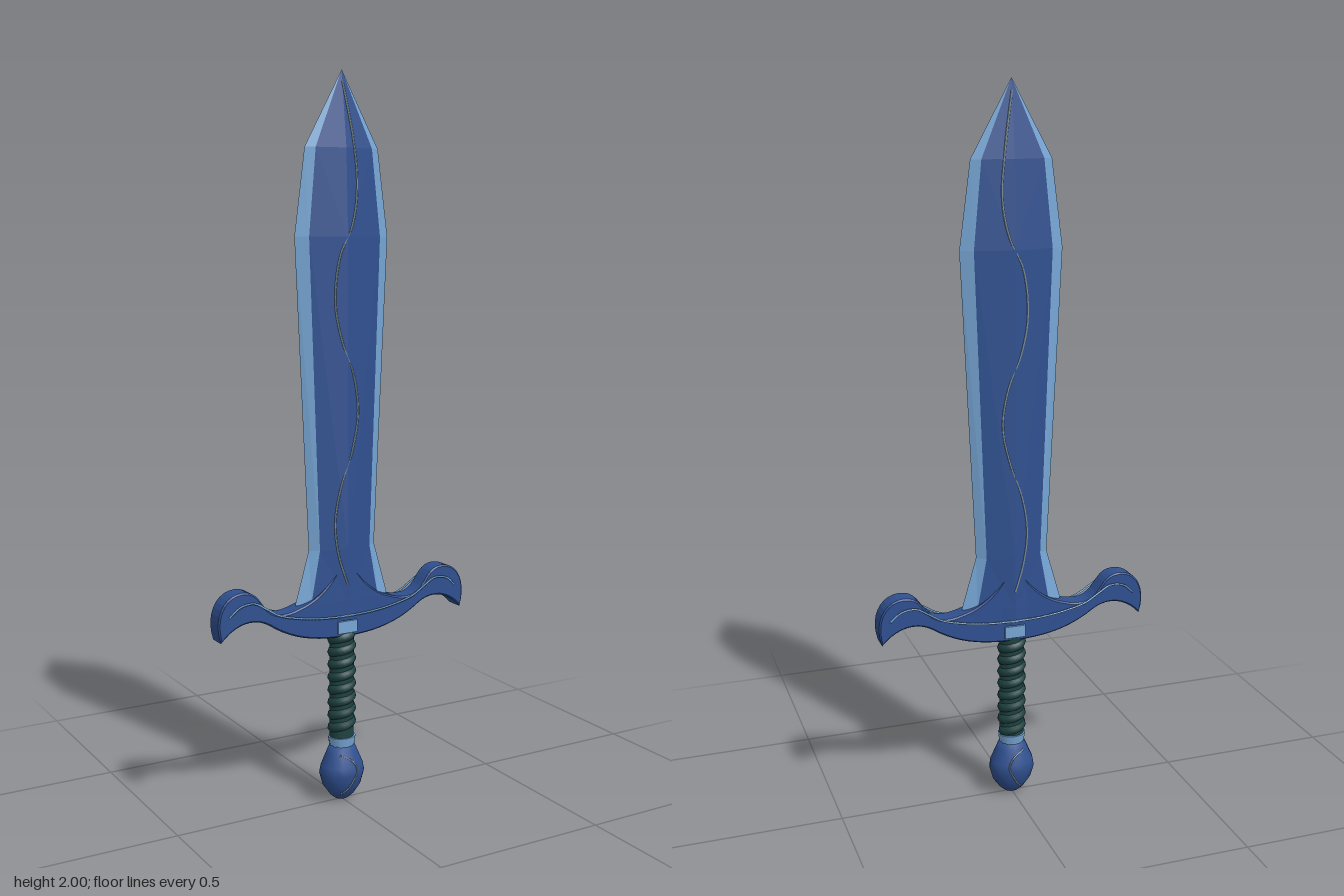
import * as THREE from 'three';

const mat = (name, color, double) => {
  const m = new THREE.MeshStandardMaterial({ color });
  m.name = name;
  if (double) m.side = THREE.DoubleSide;
  return m;
};

export function createModel() {
  const blue = mat('deep blue', 0x2f5090);
  const light = mat('pale blue edge', 0x77a7d6);
  const green = mat('dark green wrap', 0x1e4242);
  const vine = mat('grey inlay', 0x7f9298);
  const group = new THREE.Group();
  const add = (geo, m, name) => {
    const mesh = new THREE.Mesh(geo, m);
    mesh.name = name;
    group.add(mesh);
    return mesh;
  };

  // Blade sections: y, edge half-width, inner half-width, ridge depth, inner depth
  const rows = [
    [0.53, 0.11, 0.08, 0.034, 0.018],
    [0.585, 0.145, 0.105, 0.034, 0.018],
    [0.73, 0.103, 0.078, 0.034, 0.018],
    [1.57, 0.142, 0.108, 0.034, 0.018],
    [1.8, 0.111, 0.085, 0.025, 0.013],
    [2.0, 0, 0, 0, 0],
  ];
  const faces = [], bevels = [];
  // Quad a-b (lower) to c-d (upper), flipped when mirrored an odd number of times
  const quad = (out, a, b, c, d, sx, sz) => {
    const order = sx * sz > 0 ? [a, b, d, a, d, c] : [a, d, b, a, c, d];
    for (const p of order) out.push(p[0] * sx, p[1], p[2] * sz);
  };
  for (let i = 0; i < rows.length - 1; i++) {
    const pts = ([y, edge, inner, ridge, depth]) => [[0, y, ridge], [inner, y, depth], [edge, y, 0]];
    const lo = pts(rows[i]), hi = pts(rows[i + 1]);
    for (const sx of [1, -1]) for (const sz of [1, -1]) {
      quad(faces, lo[0], lo[1], hi[0], hi[1], sx, sz);
      quad(bevels, lo[1], lo[2], hi[1], hi[2], sx, sz);
    }
  }
  const fromTriangles = (list) => {
    const g = new THREE.BufferGeometry();
    g.setAttribute('position', new THREE.Float32BufferAttribute(list, 3));
    g.computeVertexNormals();
    return g;
  };
  add(fromTriangles(faces), blue, 'bladeFaces');
  add(fromTriangles(bevels), light, 'bladeEdges');

  // Depth of the blade face at a point
  const bladeZ = (x, y) => {
    let i = 0;
    while (i < rows.length - 2 && y > rows[i + 1][0]) i++;
    const a = rows[i], b = rows[i + 1], t = (y - a[0]) / (b[0] - a[0]);
    const mix = (k) => a[k] + (b[k] - a[k]) * t;
    return mix(3) + (mix(4) - mix(3)) * Math.min(1, Math.abs(x) / Math.max(mix(2), 0.001));
  };
  const line = (points, radius, name, material = vine) =>
    add(new THREE.TubeGeometry(new THREE.CatmullRomCurve3(points), points.length * 5, radius, 5), material, name);

  // Winding inlay on both blade faces
  const wave = [[0, 0.63], [-0.025, 0.71], [-0.036, 0.8], [-0.02, 0.9], [0.015, 1.0], [0.034, 1.1],
    [0.02, 1.2], [-0.018, 1.3], [-0.036, 1.4], [-0.022, 1.52], [0.015, 1.6], [0.033, 1.7], [0.024, 1.82], [0, 1.97]];
  for (const s of [1, -1]) {
    line(wave.map(([x, y]) => new THREE.Vector3(x, y, s * bladeZ(x, y))), 0.003, 'bladeInlay');
  }

  // Crossguard with curled horns
  const guard = new THREE.Shape();
  guard.moveTo(0, 0.482);
  guard.bezierCurveTo(0.1, 0.482, 0.17, 0.5, 0.235, 0.545);
  guard.bezierCurveTo(0.28, 0.575, 0.335, 0.565, 0.378, 0.517);
  guard.bezierCurveTo(0.4, 0.58, 0.375, 0.645, 0.315, 0.646);
  guard.bezierCurveTo(0.255, 0.645, 0.265, 0.585, 0.21, 0.572);
  guard.bezierCurveTo(0.18, 0.568, 0.16, 0.575, 0.135, 0.583);
  guard.quadraticCurveTo(0.07, 0.605, 0.032, 0.665);
  guard.lineTo(0, 0.635);
  const half = guard.getPoints(10);
  const outline = [...half, ...half.slice(1, -1).reverse().map((p) => new THREE.Vector2(-p.x, p.y))];
  const guardGeo = new THREE.ExtrudeGeometry(new THREE.Shape(outline), {
    depth: 0.048, bevelEnabled: true, bevelSize: 0.004, bevelThickness: 0.004, bevelOffset: -0.004, bevelSegments: 1,
  });
  guardGeo.translate(0, 0, -0.024);
  add(guardGeo, blue, 'crossguard');

  // Thin trim running along the guard, front and back
  const trim = [[0, 0.543], [0.08, 0.546], [0.15, 0.556], [0.21, 0.572], [0.25, 0.596], [0.285, 0.615], [0.325, 0.61], [0.355, 0.585]];
  const fullTrim = [...trim.slice(1).reverse().map(([x, y]) => [-x, y]), ...trim];
  for (const s of [1, -1]) {
    line(fullTrim.map(([x, y]) => new THREE.Vector3(x, y, s * (Math.abs(x) > 0.34 ? 0.03 : 0.034))), 0.003, 'guardTrim', light);
  }

  // Grip core with spiral wrap
  const core = add(new THREE.CylinderGeometry(0.035, 0.035, 0.33, 16), green, 'gripCore');
  core.position.y = 0.345;
  core.scale.z = 0.85;
  const turns = 8, coil = [];
  for (let i = 0; i <= turns * 12; i++) {
    const a = (i / 12) * Math.PI * 2;
    coil.push(new THREE.Vector3(0.025 * Math.cos(a), 0.2 + 0.29 * i / (turns * 12), -0.02 * Math.sin(a)));
  }
  add(new THREE.TubeGeometry(new THREE.CatmullRomCurve3(coil), turns * 20, 0.0165, 8), green, 'gripWrap');

  // Collars above and below the grip
  const upper = add(new THREE.BoxGeometry(0.06, 0.034, 0.07), light, 'upperCollar');
  upper.position.y = 0.511;
  const lower = add(new THREE.CylinderGeometry(0.04, 0.036, 0.026, 12), light, 'lowerCollar');
  lower.position.y = 0.177;
  lower.scale.z = 0.88;

  // Teardrop pommel
  const profile = [[0, 0.005], [0.02, 0.009], [0.036, 0.022], [0.056, 0.05], [0.066, 0.085], [0.062, 0.108], [0.046, 0.145], [0.036, 0.167], [0, 0.17]];
  const pommel = add(new THREE.LatheGeometry(profile.map((p) => new THREE.Vector2(...p)), 16), blue, 'pommel');
  pommel.scale.z = 0.82;

  // Curling inlay on the pommel
  const pommelCurl = [[-0.025, 0.145], [0.01, 0.125], [0.022, 0.1], [0.01, 0.07], [-0.005, 0.045], [-0.02, 0.03]];
  const radiusAt = (y) => {
    const i = profile.findIndex((p) => p[1] >= y);
    const [r0, y0] = profile[i - 1], [r1, y1] = profile[i];
    return r0 + (r1 - r0) * (y - y0) / (y1 - y0);
  };
  for (const s of [1, -1]) {
    line(pommelCurl.map(([x, y]) => new THREE.Vector3(x, y, s * 0.82 * Math.sqrt(Math.max(0, radiusAt(y) ** 2 - x * x)))), 0.0025, 'pommelInlay');
  }
  return group;
}
